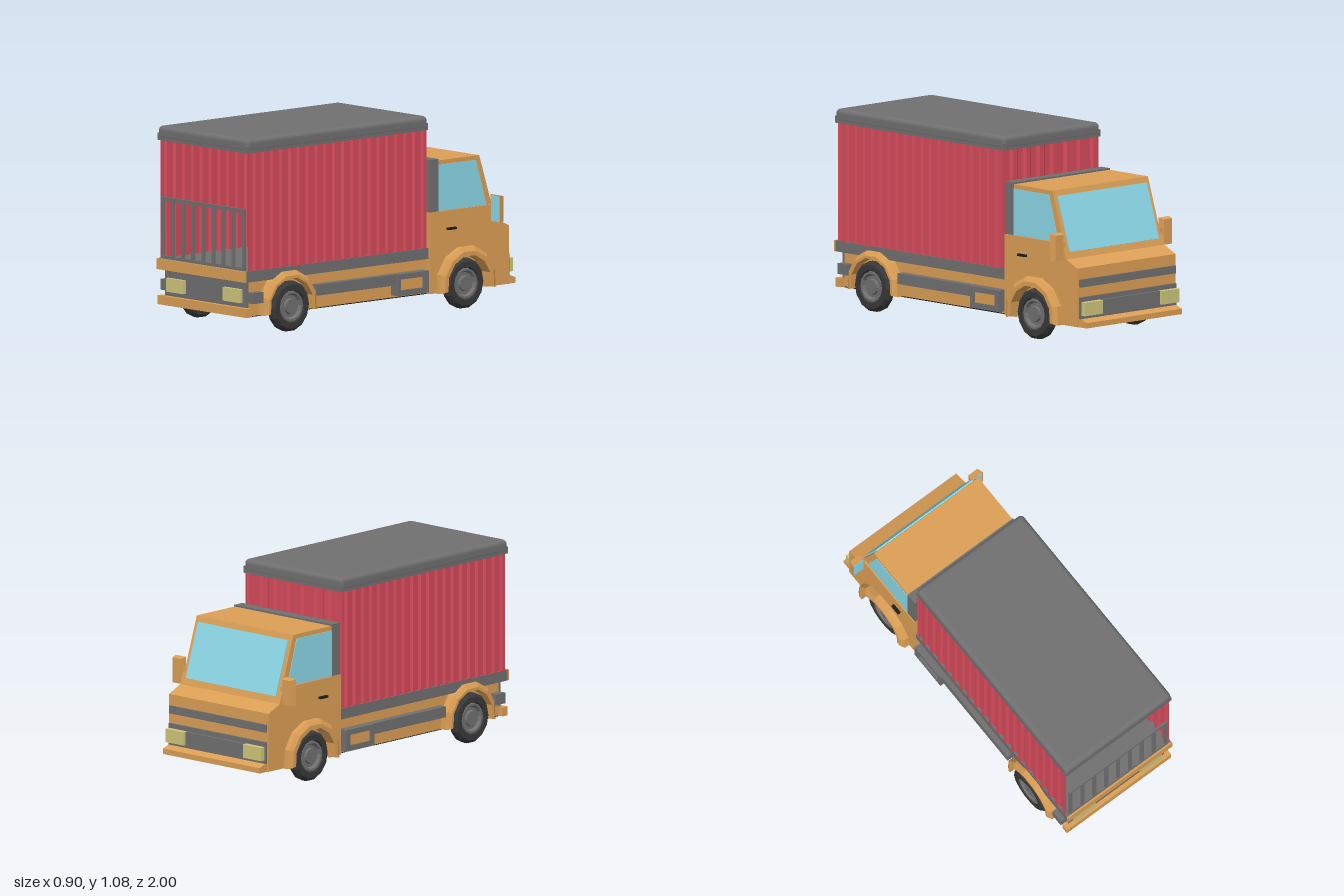
import * as THREE from 'three';
import { RoundedBoxGeometry } from 'three/addons/geometries/RoundedBoxGeometry.js';

const mat = (color) => new THREE.MeshStandardMaterial({ color, flatShading: true, side: THREE.DoubleSide });

export function createModel() {
  const root = new THREE.Group();
  const orange = mat(0xdc9f55), grey = mat(0x707070), red = mat(0xd44a5a), glass = mat(0x8cd8e8);
  const yellow = mat(0xd0c67c), tyreMat = mat(0x383838), black = mat(0x1c1c1c);

  const add = (name, geometry, material, parent = root) => {
    const mesh = new THREE.Mesh(geometry, material);
    mesh.name = name;
    parent.add(mesh);
    return mesh;
  };
  // Box given by its limits on each axis
  const box = (name, material, x0, x1, y0, y1, z0, z1) => {
    const g = new THREE.BoxGeometry(x1 - x0, y1 - y0, z1 - z0);
    g.translate((x0 + x1) / 2, (y0 + y1) / 2, (z0 + z1) / 2);
    return add(name, g, material);
  };
  // Box centred on x = 0
  const wide = (name, material, hx, ...rest) => box(name, material, -hx, hx, ...rest);
  const shapeOf = (pts) => new THREE.Shape(pts.map(([u, v]) => new THREE.Vector2(u, v)));
  // Side profile (z, y) extruded across x from -hx to hx
  const profile = (name, material, shape, hx) => {
    const g = new THREE.ExtrudeGeometry(shape, { depth: 2 * hx, bevelEnabled: false, curveSegments: 8 });
    g.translate(0, 0, -hx);
    g.rotateY(-Math.PI / 2);
    return add(name, g, material);
  };

  // Chassis and bed
  wide('chassis', orange, 0.33, 0.106, 0.3, -0.37, 0.95);
  wide('underbody', black, 0.33, 0.102, 0.107, -0.94, 0.95);
  wide('bed', grey, 0.36, 0.3, 0.36, -0.355, 0.99);
  wide('bedEndBoard', orange, 0.36, 0.3, 0.36, 0.99, 1);
  wide('sideRail', grey, 0.375, 0.18, 0.24, -0.11, 0.48);
  wide('sideRailTail', grey, 0.375, 0.18, 0.24, 0.88, 0.955);
  wide('tailPanel', grey, 0.33, 0.155, 0.3, 0.95, 0.965);
  wide('tailBumper', orange, 0.36, 0.105, 0.155, 0.95, 0.99);

  // Tool boxes with a framed panel, showing on both sides
  const frame = shapeOf([[-0.335, 0.12], [-0.105, 0.12], [-0.105, 0.24], [-0.335, 0.24]]);
  frame.holes.push(shapeOf([[-0.3, 0.15], [-0.3, 0.21], [-0.13, 0.21], [-0.13, 0.15]]));
  profile('toolBoxFrame', grey, frame, 0.385);
  wide('toolBoxPanel', orange, 0.372, 0.145, 0.215, -0.305, -0.125);

  // Corrugated cargo walls
  const wall = (name, length, waves, x, z, turn) => {
    const line = [];
    const p = length / waves;
    for (let i = 0; i < waves; i++) {
      const u = -length / 2 + i * p;
      line.push([u, 0], [u + p * 0.32, 0], [u + p * 0.46, -0.014], [u + p * 0.86, -0.014]);
    }
    line.push([length / 2, 0]);
    const inner = line.map(([u, v]) => [u, v - 0.008]).reverse();
    const g = new THREE.ExtrudeGeometry(shapeOf([...line, ...inner]), { depth: 0.67, bevelEnabled: false });
    g.rotateX(-Math.PI / 2);
    g.rotateY(turn);
    g.translate(x, 0.355, z);
    add(name, g, red);
  };
  wall('cargoWallRight', 1.31, 20, -0.36, 0.315, Math.PI / 2);
  wall('cargoWallLeft', 1.31, 20, 0.36, 0.315, -Math.PI / 2);
  wall('cargoWallInner', 0.71, 7, 0, -0.34, 0);

  // Roof with a rounded upper edge
  add('cargoRoof', new RoundedBoxGeometry(0.73, 0.08, 1.34, 3, 0.025), grey).position.set(0, 1.05, 0.32);
  wide('cargoRoofEdge', grey, 0.364, 1.012, 1.05, -0.349, 0.989);

  // Open end railing
  wide('railingTop', grey, 0.34, 0.682, 0.702, 0.975, 0.988);
  wide('railingBottom', grey, 0.34, 0.362, 0.378, 0.975, 0.988);
  for (let i = 0; i < 9; i++) {
    const x = -0.328 + i * 0.082;
    box('railingBar', grey, x - 0.011, x + 0.011, 0.362, 0.7, 0.977, 0.986);
  }

  // Lower cab with wheel openings
  const lower = new THREE.Shape();
  lower.moveTo(-0.36, 0.106);
  lower.lineTo(-0.36, 0.555);
  lower.lineTo(-0.822, 0.555);
  lower.lineTo(-0.85, 0.47);
  lower.lineTo(-0.94, 0.43);
  lower.lineTo(-0.94, 0.106);
  lower.lineTo(-0.77, 0.106);
  lower.absarc(-0.61, 0.145, 0.165, Math.PI + 0.24, -0.24, true);
  profile('cabLower', orange, lower, 0.37);
  wide('cabCore', orange, 0.33, 0.106, 0.4, -0.935, -0.365);

  // Upper cab, rear pillar frame and windows
  profile('cabUpper', orange, shapeOf([[-0.4, 0.55], [-0.4, 0.836], [-0.73, 0.836], [-0.824, 0.55]]), 0.36);
  wide('cabRearFrame', grey, 0.364, 0.555, 0.845, -0.425, -0.36);
  profile('sideWindows', glass, shapeOf([[-0.425, 0.557], [-0.425, 0.812], [-0.705, 0.812], [-0.782, 0.557]]), 0.363);
  profile('windscreen', glass, shapeOf([[-0.74, 0.805], [-0.748, 0.807], [-0.846, 0.508], [-0.838, 0.506]]), 0.335);

  // Cab nose
  wide('noseStrip', grey, 0.36, 0.325, 0.368, -0.952, -0.935);
  wide('grille', grey, 0.36, 0.15, 0.27, -0.955, -0.935);
  wide('grilleCentre', grey, 0.22, 0.17, 0.245, -0.972, -0.95);
  profile('noseBumper', orange, shapeOf([[-0.93, 0.105], [-0.93, 0.155], [-0.96, 0.15], [-1, 0.135], [-1, 0.105]]), 0.36);

  // Wheels and arches
  const tyre = [[0, 0], [0.125, 0], [0.14, 0.014], [0.14, 0.042], [0.123, 0.06], [0.092, 0.06], [0.085, 0.042]];
  const rim = [[0.088, 0.04], [0.084, 0.056], [0.072, 0.056], [0.062, 0.04], [0.045, 0.04], [0.04, 0.052], [0, 0.052]];
  const lathe = (pts, n, ...arc) => {
    const g = new THREE.LatheGeometry(pts.map(([r, h]) => new THREE.Vector2(r, h)), n, ...arc);
    return g.rotateZ(-Math.PI / 2);
  };
  const axles = [
    { end: 'cab', z: -0.61, r: 0.21, out: 0.085 },
    { end: 'tail', z: 0.68, r: 0.2, out: 0.06 },
  ];
  for (const s of [1, -1]) {
    for (const { end, z, r, out } of axles) {
      const unit = new THREE.Group();
      unit.name = end + 'Wheel';
      unit.position.set(s * 0.33, 0.142, z);
      unit.rotation.y = s > 0 ? 0 : Math.PI;
      add('tyre', lathe(tyre, 14), tyreMat, unit);
      add('rim', lathe(rim, 14), grey, unit);
      const arch = [[0.16, 0], [r, 0], [r, out - 0.016], [r - 0.025, out], [0.16, out], [0.16, 0]];
      add('wheelArch', lathe(arch, 7, Math.PI - 0.18, Math.PI + 0.36), orange, unit);
      root.add(unit);
    }

    // Lamps at both ends
    const lamp = (name, a, b, ...rest) => box(name, yellow, Math.min(s * a, s * b), Math.max(s * a, s * b), ...rest);
    lamp('tailLamp', 0.16, 0.3, 0.18, 0.255, 0.96, 0.985);
    lamp('headLamp', 0.22, 0.355, 0.17, 0.245, -0.985, -0.95);

    // Door handles
    const handle = add('doorHandle', new THREE.BoxGeometry(0.018, 0.012, 0.06), black);
    handle.position.set(s * 0.379, 0.455, -0.51);

    // Mirrors, narrowing toward the nose
    const shell = new THREE.BoxGeometry(0.08, 0.155, 0.035);
    const pos = shell.attributes.position;
    for (let i = 0; i < pos.count; i++) {
      if (pos.getZ(i) < 0) pos.setXY(i, pos.getX(i) * 0.75, pos.getY(i) * 0.9);
    }
    add('mirrorShell', shell, orange).position.set(s * 0.409, 0.5375, -0.822);
    add('mirrorGlass', new THREE.BoxGeometry(0.066, 0.14, 0.004), glass).position.set(s * 0.409, 0.5375, -0.804);
    add('mirrorArm', new THREE.BoxGeometry(0.03, 0.05, 0.02), orange).position.set(s * 0.37, 0.535, -0.818);
  }
  return root;
}
